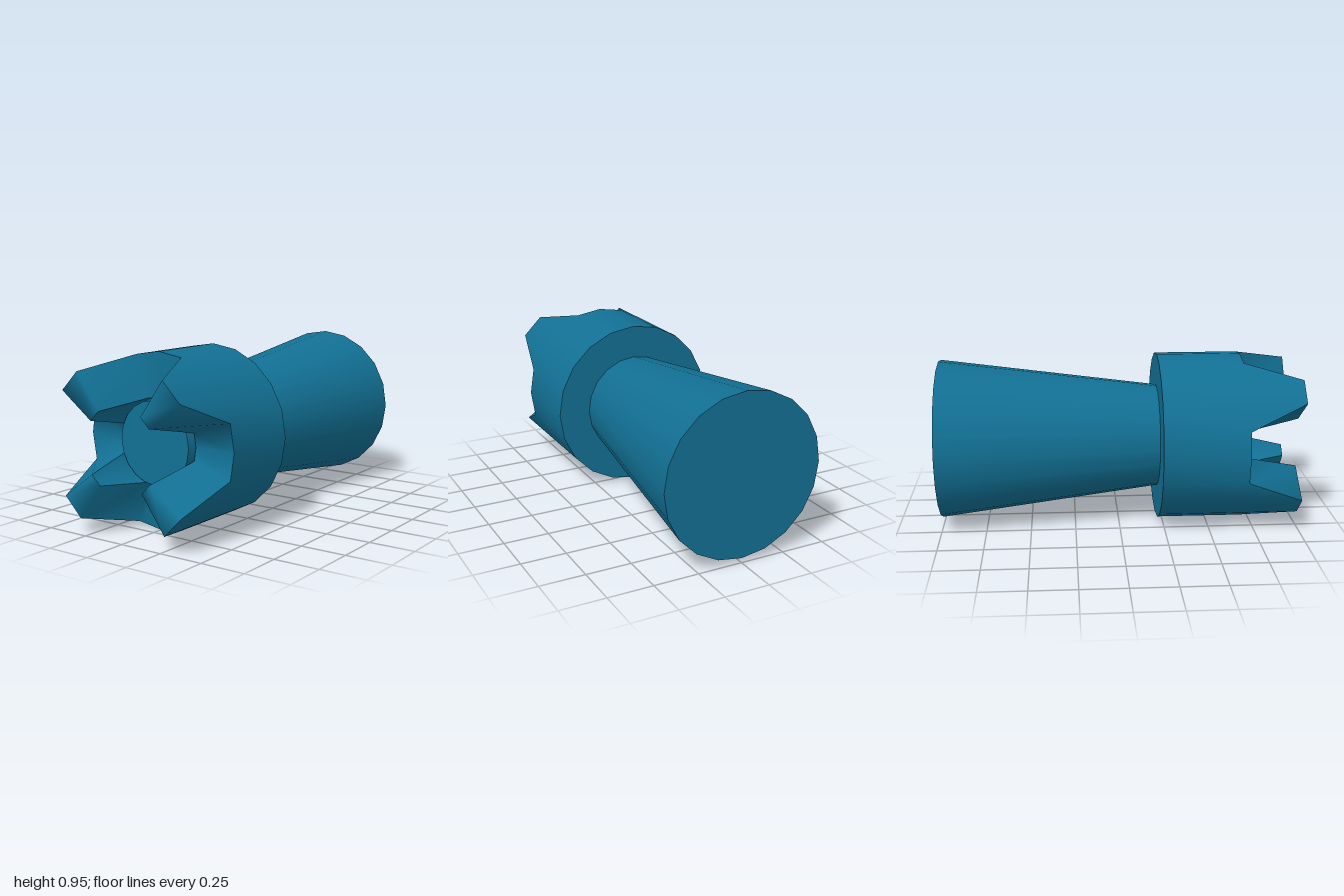
import * as THREE from 'three';
import { mergeGeometries } from 'three/addons/utils/BufferGeometryUtils.js';

const SIDES = 20;
const OUTER = 0.473, INNER = 0.236;
const BACK = 0.22, NOTCH = 0.69, TIP = 1;

// ring of points around the z axis; depth(i) gives z at each step
function ring(radius, depth) {
  return Array.from({ length: SIDES }, (_, i) => {
    const a = (i / SIDES) * Math.PI * 2;
    return [radius * Math.cos(a), radius * Math.sin(a), depth(i)];
  });
}

// closed, smooth strip of quads between two rings
function strip(a, b) {
  const index = [];
  for (let i = 0; i < SIDES; i++) {
    const j = (i + 1) % SIDES;
    index.push(i, j, SIDES + j, i, SIDES + j, SIDES + i);
  }
  const geo = new THREE.BufferGeometry();
  geo.setAttribute('position', new THREE.Float32BufferAttribute([...a, ...b].flat(), 3));
  geo.setIndex(index);
  geo.computeVertexNormals();
  return geo;
}

export function createModel() {
  const group = new THREE.Group();
  const material = new THREE.MeshStandardMaterial({ color: 0x127094 });

  // tapered shaft, wide at the back, its narrow end reaching into the crown
  const shaftGeo = new THREE.CylinderGeometry(0.224, 0.447, 1.735, SIDES);
  shaftGeo.rotateX(Math.PI / 2);
  const shaft = new THREE.Mesh(shaftGeo, material);
  shaft.name = 'taperedShaft';
  shaft.position.z = -0.1325;

  // collar whose front edge rises into four teeth, two raised steps in every five
  const crown = (i) => (i % 5 === 2 || i % 5 === 3 ? TIP : NOTCH);
  const flat = () => BACK;
  const loops = [ring(OUTER, flat), ring(OUTER, crown), ring(INNER, crown), ring(INNER, flat)];
  const collarGeo = mergeGeometries(loops.map((loop, i) => strip(loop, loops[(i + 1) % 4])));
  const collar = new THREE.Mesh(collarGeo, material);
  collar.name = 'toothedCollar';

  group.add(shaft, collar);
  group.position.y = OUTER;
  const model = new THREE.Group();
  group.name = 'body';
  model.add(group);
  return model;
}
